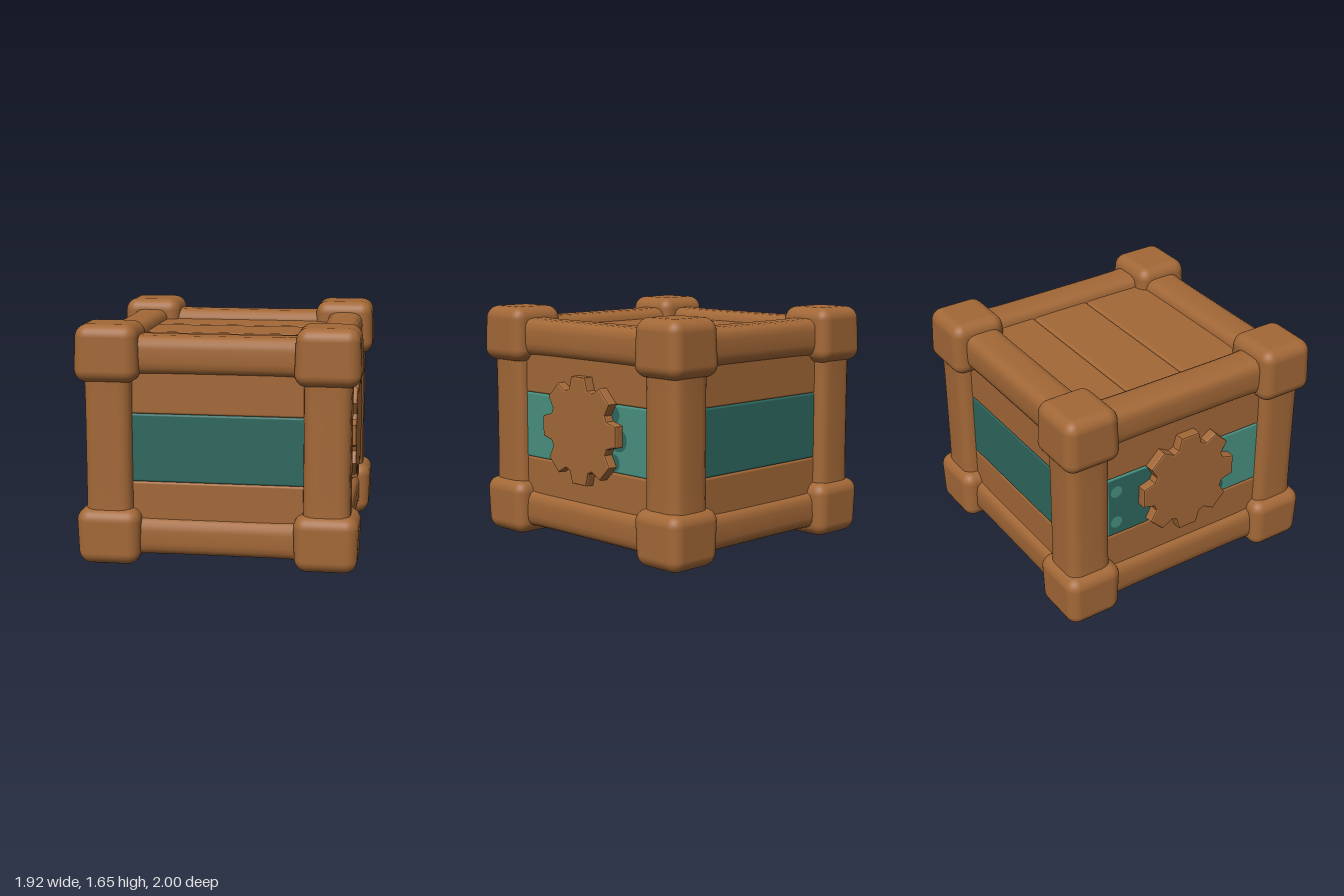
import * as THREE from 'three';
import { toCreasedNormals } from 'three/addons/utils/BufferGeometryUtils.js';
import { RoundedBoxGeometry } from 'three/addons/geometries/RoundedBoxGeometry.js';

const flat = (name, color) => {
  const m = new THREE.MeshStandardMaterial({ color });
  m.name = name;
  return m;
};

export function createModel() {
  const wood = flat('wood', 0xa36837);
  const darkTeal = flat('dark teal', 0x2e685f);
  const lightTeal = flat('light teal', 0x499080);
  const model = new THREE.Group();
  model.name = 'crate';

  const add = (parent, name, geo, mat, x = 0, y = 0, z = 0) => {
    const mesh = new THREE.Mesh(geo, mat);
    mesh.name = name;
    mesh.position.set(x, y, z);
    parent.add(mesh);
    return mesh;
  };

  // Rounded beam along z, slightly swollen toward both ends
  const beam = (w, h, length) => {
    const r = 0.085, a = w / 2, b = h / 2;
    const s = new THREE.Shape();
    s.moveTo(-a + r, -b);
    s.lineTo(a - r, -b);
    s.quadraticCurveTo(a, -b, a, -b + r);
    s.lineTo(a, b - r);
    s.quadraticCurveTo(a, b, a - r, b);
    s.lineTo(-a + r, b);
    s.quadraticCurveTo(-a, b, -a, b - r);
    s.lineTo(-a, -b + r);
    s.quadraticCurveTo(-a, -b, -a + r, -b);
    const g = new THREE.ExtrudeGeometry(s, { depth: length, steps: 14, bevelEnabled: false, curveSegments: 4 });
    g.translate(0, 0, -length / 2);
    const p = g.attributes.position;
    for (let i = 0; i < p.count; i++) {
      const t = Math.abs(p.getZ(i)) / (length / 2);
      const k = 0.99 + 0.09 * t ** 6;
      p.setXY(i, p.getX(i) * k, p.getY(i) * k);
    }
    return toCreasedNormals(g, 0.8);
  };

  // Corner blocks, narrowed a little toward the outer end
  const cornerGeo = (up) => {
    const g = new RoundedBoxGeometry(0.44, 0.39, 0.42, 4, 0.085);
    const p = g.attributes.position;
    for (let i = 0; i < p.count; i++) {
      const k = 1 - 0.06 * Math.max(0, up * p.getY(i) / 0.195);
      p.setX(i, p.getX(i) * k);
      p.setZ(i, p.getZ(i) * k);
    }
    return g;
  };

  // Frame: corner blocks, posts and rails
  const postGeo = beam(0.32, 0.32, 1.2).rotateX(Math.PI / 2);
  const railXGeo = beam(0.28, 0.26, 1.3).rotateY(Math.PI / 2);
  const railZGeo = beam(0.26, 0.26, 1.4);
  const lowCorner = cornerGeo(-1), highCorner = cornerGeo(1);
  for (const sx of [-1, 1]) {
    for (const sz of [-1, 1]) {
      add(model, 'lowerCorner', lowCorner, wood, sx * 0.74, 0.195, sz * 0.79);
      add(model, 'upperCorner', highCorner, wood, sx * 0.74, 1.455, sz * 0.79);
      add(model, 'post', postGeo, wood, sx * 0.74, 0.825, sz * 0.79);
    }
  }
  for (const y of [0.19, 1.44]) {
    for (const s of [-1, 1]) {
      add(model, 'crossRail', railXGeo, wood, 0, y, s * 0.77);
      add(model, 'sideRail', railZGeo, wood, s * 0.75, y, 0);
    }
  }

  // Solid core behind the boards
  add(model, 'core', new THREE.BoxGeometry(1.62, 1.32, 1.68), wood, 0, 0.815, 0);

  // Top and bottom boards running across
  for (const [z0, z1] of [[-0.7, -0.3], [-0.3, 0.15], [0.15, 0.7]]) {
    const g = new RoundedBoxGeometry(1.4, 0.1, z1 - z0, 2, 0.025);
    add(model, 'topBoard', g, wood, 0, 1.45, (z0 + z1) / 2);
    add(model, 'bottomBoard', g, wood, 0, 0.18, (z0 + z1) / 2);
  }

  // Side wall of three boards with a painted middle board, facing local +z
  const wall = (name, depth, width, paint, angle) => {
    const g = new THREE.Group();
    g.name = name;
    g.rotation.y = angle;
    model.add(g);
    for (const [y0, y1, mat] of [[0.2, 0.57, wood], [0.57, 1.04, paint], [1.04, 1.42, wood]]) {
      const geo = new RoundedBoxGeometry(width, y1 - y0, 0.1, 2, 0.015);
      add(g, mat === wood ? 'wallBoard' : 'paintedBoard', geo, mat, 0, (y0 + y1) / 2, depth - 0.05);
    }
    return g;
  };
  wall('frontWall', 0.865, 1.36, darkTeal, 0);
  wall('backWall', 0.865, 1.36, darkTeal, Math.PI);

  // Eight-toothed gear
  const points = [];
  for (let i = 0; i < 8; i++) {
    const mid = i * Math.PI / 4;
    for (const [da, r] of [[-0.3, 0.292], [-0.17, 0.37], [0.17, 0.37], [0.3, 0.292]]) {
      points.push(new THREE.Vector2(Math.cos(mid + da) * r, Math.sin(mid + da) * r));
    }
  }
  const gearGeo = new THREE.ExtrudeGeometry(new THREE.Shape(points), {
    depth: 0.07, bevelThickness: 0.015, bevelSize: 0.012, bevelSegments: 2,
  });

  // Side walls with gear and painted spots around it
  const disc = (r) => new THREE.CircleGeometry(r, 20);
  for (const s of [-1, 1]) {
    const g = wall(s > 0 ? 'gearWallPlusX' : 'gearWallMinusX', 0.835, 1.4, lightTeal, s * Math.PI / 2);
    add(g, 'gear', gearGeo, wood, 0, 0.83, 0.82);
    for (const m of [-1, 1]) {
      for (const [x, y, r] of [[0.34, 0.8, 0.08], [0.29, 0.64, 0.06], [0.29, 0.97, 0.06]]) {
        add(g, 'paintSpot', disc(r), darkTeal, m * x, y, 0.838);
      }
    }
    if (s < 0) {
      add(g, 'paintPatch', new THREE.PlaneGeometry(0.3, 0.45), darkTeal, -0.47, 0.805, 0.839);
      for (const y of [0.68, 0.93]) add(g, 'lightSpot', disc(0.045), lightTeal, -0.56, y, 0.842);
    }
  }
  return model;
}
